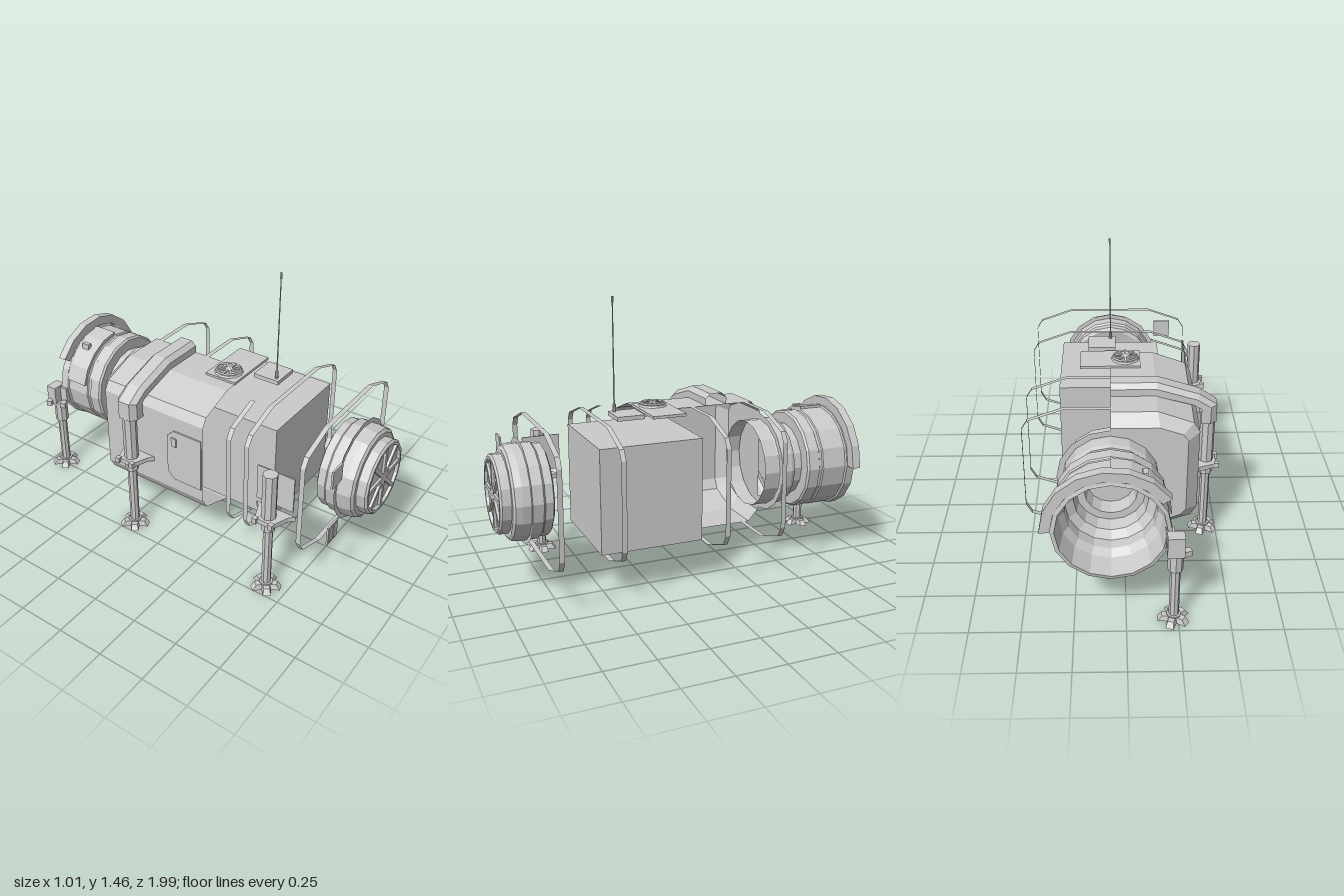
import * as THREE from 'three';

const CX = 0.07, CY = 0.525; // engine axis
const mat = new THREE.MeshStandardMaterial({ color: 0xcccccc, flatShading: true, side: THREE.DoubleSide });

export function createModel() {
  const model = new THREE.Group();

  const add = (name, geo, x = 0, y = 0, z = 0, parent = model) => {
    const m = new THREE.Mesh(geo, mat);
    m.name = name;
    m.position.set(x, y, z);
    parent.add(m);
    return m;
  };
  // box given by its min and max corners
  const box = (name, x0, x1, y0, y1, z0, z1, parent) =>
    add(name, new THREE.BoxGeometry(x1 - x0, y1 - y0, z1 - z0),
      (x0 + x1) / 2, (y0 + y1) / 2, (z0 + z1) / 2, parent);
  const post = (name, r, y0, y1, x, z, parent, r2 = r, sides = 8) =>
    add(name, new THREE.CylinderGeometry(r2, r, y1 - y0, sides), x, (y0 + y1) / 2, z, parent);
  const shapeOf = pts => new THREE.Shape(pts.map(p => new THREE.Vector2(p[0], p[1])));
  const extrude = (pts, depth) =>
    new THREE.ExtrudeGeometry(shapeOf(pts), { depth, bevelEnabled: false });
  // turned part along the engine axis; profile is [radius, z]
  const turned = (name, profile) => add(name,
    new THREE.LatheGeometry(profile.map(p => new THREE.Vector2(p[0], p[1])), 16).rotateX(Math.PI / 2), CX, CY, 0);
  // curved slab around the engine axis
  const arcSlab = (name, r0, r1, a0, a1, z0, z1, n) => {
    const pts = [];
    for (let i = 0; i <= n; i++) {
      const a = a0 + (a1 - a0) * i / n;
      pts.push([r1 * Math.cos(a), r1 * Math.sin(a)]);
    }
    for (let i = n; i >= 0; i--) {
      const a = a0 + (a1 - a0) * i / n;
      pts.push([r0 * Math.cos(a), r0 * Math.sin(a)]);
    }
    return add(name, extrude(pts, z1 - z0), CX, CY, z0);
  };
  // open skin through cross-sections of [x, y, z] points
  const skin = sections => {
    const pos = [], idx = [], n = sections[0].length;
    sections.forEach(s => s.forEach(p => pos.push(...p)));
    for (let j = 0; j < sections.length - 1; j++)
      for (let i = 0; i < n - 1; i++) {
        const a = j * n + i, b = a + 1, c = a + n, d = c + 1;
        idx.push(a, c, b, b, c, d);
      }
    const g = new THREE.BufferGeometry();
    g.setAttribute('position', new THREE.Float32BufferAttribute(pos, 3));
    g.setIndex(idx);
    g.computeVertexNormals();
    return g;
  };

  // hull: half shell, open at the middle and front, tapered at the back
  const hull = [[CX, 0.865], [-0.16, 0.865], [-0.34, 0.80], [-0.37, 0.75],
    [-0.37, 0.30], [-0.34, 0.245], [-0.16, 0.18], [CX, 0.18]];
  const hullBack = [[CX, 0.805], [-0.17, 0.805], [-0.285, 0.765], [-0.31, 0.73],
    [-0.31, 0.32], [-0.285, 0.285], [-0.17, 0.24], [CX, 0.24]];
  const at = (pts, z) => pts.map(p => [p[0], p[1], z]);
  add('hullShell', skin([at(hull, 0.21), at(hull, -0.42), at(hullBack, -0.475)]));
  add('hullBackWall', new THREE.ShapeGeometry(shapeOf(hullBack)), 0, 0, -0.475);
  box('coreBox', -0.2, 0.34, 0.23, 0.77, -0.01, 0.53);

  // side door with handle
  const door = extrude([[-0.18, 0.41], [-0.14, 0.37], [0.03, 0.37], [0.03, 0.67], [-0.14, 0.67], [-0.18, 0.63]], 0.008);
  add('sideDoor', door.rotateY(-Math.PI / 2), -0.37, 0, 0.17);
  box('doorHandle', -0.385, -0.37, 0.58, 0.63, 0.02, 0.05);

  // thin ribbon frames around the hull
  const mirrored = hull.slice(1, 7).reverse().map(p => [2 * CX - p[0], p[1]]);
  const fullRing = [...hull, ...mirrored, hull[0]];
  for (const z of [0.775, 0.468, -0.073, -0.385])
    add('frameRing', skin([at(fullRing, z - 0.013), at(fullRing, z + 0.013)]));
  const halfRing = hull.slice(1, 7);
  add('frameHalfRing', skin([at(halfRing, 0.352), at(halfRing, 0.378)]));

  // front intake
  turned('intakeHousing', [[0, 0.75], [0.15, 0.75], [0.215, 0.74], [0.235, 0.75], [0.235, 0.79], [0.245, 0.8],
    [0.245, 0.9], [0.238, 0.935], [0.222, 0.945], [0.2, 0.945], [0.2, 0.99], [0.19, 1.0], [0.175, 1.0], [0.17, 0.985], [0, 0.985]]);
  const flange = (name, z) => add(name, new THREE.RingGeometry(0.2, 0.27, 16), CX, CY, z);
  flange('intakeFlange', 0.86);
  const grille = new THREE.Group();
  grille.name = 'intakeGrille';
  model.add(grille);
  for (let i = 0; i < 4; i++)
    add('grilleSpoke', new THREE.BoxGeometry(0.35, 0.022, 0.014), CX, CY, 0.991, grille).rotation.z = i * Math.PI / 4;
  add('grilleHub', new THREE.CylinderGeometry(0.03, 0.03, 0.014, 16).rotateX(Math.PI / 2), CX, CY, 0.991, grille);

  // rear exhaust: stepped outside, open stepped bell inside
  turned('exhaustHousing', [[0.235, -0.39], [0.235, -0.47], [0.24, -0.48], [0.24, -0.55], [0.232, -0.57], [0.2, -0.57],
    [0.2, -0.63], [0.26, -0.63], [0.27, -0.64], [0.27, -0.7], [0.263, -0.705], [0.263, -0.72], [0.27, -0.725],
    [0.27, -0.86], [0.28, -0.865], [0.28, -0.91], [0.26, -0.915], [0.245, -0.8], [0.22, -0.76], [0.22, -0.7],
    [0.18, -0.67], [0.17, -0.6], [0.13, -0.6], [0.12, -0.52], [0, -0.52]].reverse());
  flange('exhaustFlange', -0.476);
  arcSlab('exhaustRim', 0.28, 0.33, 0, Math.PI * 0.8125, -0.915, -0.87, 7);
  arcSlab('exhaustCover', 0.26, 0.285, Math.PI / 2, Math.PI * 0.93, -0.86, -0.73, 4);
  box('coverLatch', -0.1, -0.075, 0.74, 0.785, -0.825, -0.78);

  // roof hatch with vent
  box('roofPlate', -0.09, 0.23, 0.862, 0.876, 0.03, 0.21);
  post('roofVent', 0.075, 0.876, 0.886, -0.01, 0.12, model, 0.07, 12);
  add('ventRing', new THREE.TorusGeometry(0.062, 0.006, 4, 16).rotateX(Math.PI / 2), -0.01, 0.89, 0.12);
  for (let i = 0; i < 4; i++)
    add('ventBlade', new THREE.BoxGeometry(0.12, 0.008, 0.012), -0.01, 0.89, 0.12).rotation.y = i * Math.PI / 4;

  // antenna
  box('antennaBase', 0.04, 0.19, 0.858, 0.88, 0.24, 0.385);
  post('antennaSocket', 0.009, 0.88, 0.92, 0.068, 0.36);
  post('antennaRod', 0.004, 0.92, 1.435, 0.068, 0.36, model, 0.003, 6);
  post('antennaTip', 0.006, 1.43, 1.462, 0.068, 0.36, model, 0.006, 6);

  // roof arch: trapezoid section from the middle leg over the hull
  const archOuter = [[-0.47, 0.70], [-0.47, 0.80], [-0.38, 0.86], [-0.165, 0.928], [CX, 0.928]];
  const archInner = [[-0.39, 0.70], [-0.39, 0.785], [-0.35, 0.81], [-0.155, 0.865], [CX, 0.865]];
  const mix = t => archInner.map((p, i) => [p[0] + (archOuter[i][0] - p[0]) * t, p[1] + (archOuter[i][1] - p[1]) * t]);
  add('roofArch', skin([at(archInner, -0.15), at(mix(0.6), -0.15), at(archOuter, -0.175),
    at(archOuter, -0.245), at(mix(0.6), -0.27), at(archInner, -0.27)]));

  // star foot with five blunt toes
  const foot = (x, z, parent) => {
    const pts = [];
    for (let i = 0; i < 5; i++)
      for (const [r, d] of [[0.04, -0.63], [0.08, -0.25], [0.08, 0.25]]) {
        const a = i * Math.PI * 0.4 + d;
        pts.push([r * Math.cos(a), r * Math.sin(a)]);
      }
    const g = extrude(pts, 0.028).rotateX(-Math.PI / 2);
    const p = g.attributes.position;
    for (let i = 0; i < p.count; i++)
      if (p.getY(i) > 0.01) { p.setX(i, p.getX(i) * 0.75); p.setZ(i, p.getZ(i) * 0.75); }
    add('foot', g, x, 0, z, parent);
    post('footCollar', 0.036, 0.02, 0.035, x, z, parent);
  };

  // the two side legs with sleeve and triangular bracket
  for (const [z, top] of [[0.64, 0.7], [-0.21, 0.72]]) {
    const leg = new THREE.Group();
    leg.name = z > 0 ? 'frontLeg' : 'middleLeg';
    model.add(leg);
    foot(-0.43, z, leg);
    post('legTube', 0.025, 0.03, 0.4, -0.43, z, leg);
    post('legCollar', 0.035, 0.37, 0.43, -0.43, z, leg);
    post('legSleeve', 0.038, 0.43, top, -0.43, z, leg);
    const plan = [[-0.365, -0.11], [-0.365, 0.11], [-0.39, 0.085], [-0.48, 0.05], [-0.48, -0.05], [-0.39, -0.085]];
    add('legBracket', extrude(plan, 0.025).rotateX(Math.PI / 2), 0, 0.45, z, leg);
    for (const s of [-1, 1])
      box('bracketClip', -0.495, -0.47, 0.425, 0.455, z + s * 0.045 - 0.012, z + s * 0.045 + 0.012, leg);
    if (z > 0) box('legPanel', -0.375, -0.368, 0.48, 0.675, z - 0.105, z + 0.1, leg);
  }

  // rear leg hung from the exhaust rim
  const rear = new THREE.Group();
  rear.name = 'rearLeg';
  model.add(rear);
  foot(-0.228, -0.915, rear);
  post('legTube', 0.025, 0.03, 0.33, -0.228, -0.915, rear);
  post('legCollar', 0.037, 0.31, 0.43, -0.228, -0.915, rear);
  box('legBlock', -0.265, -0.185, 0.42, 0.53, -0.975, -0.915, rear);
  box('legHanger', -0.22, -0.18, 0.43, 0.52, -0.92, -0.87, rear);
  for (const [x, z] of [[-0.275, -0.95], [-0.25, -0.87]])
    box('legClip', x - 0.02, x + 0.02, 0.42, 0.45, z - 0.015, z + 0.015, rear).rotation.y = 0.4;

  // small access panels beside the intake
  for (const y of [0.685, 0.35]) box('accessPanel', -0.295, -0.2, y - 0.05, y + 0.05, 0.886, 0.896);
  for (const x of [-0.27, -0.226]) box('panelInset', x - 0.018, x + 0.018, 0.31, 0.39, 0.896, 0.9);

  return model;
}
